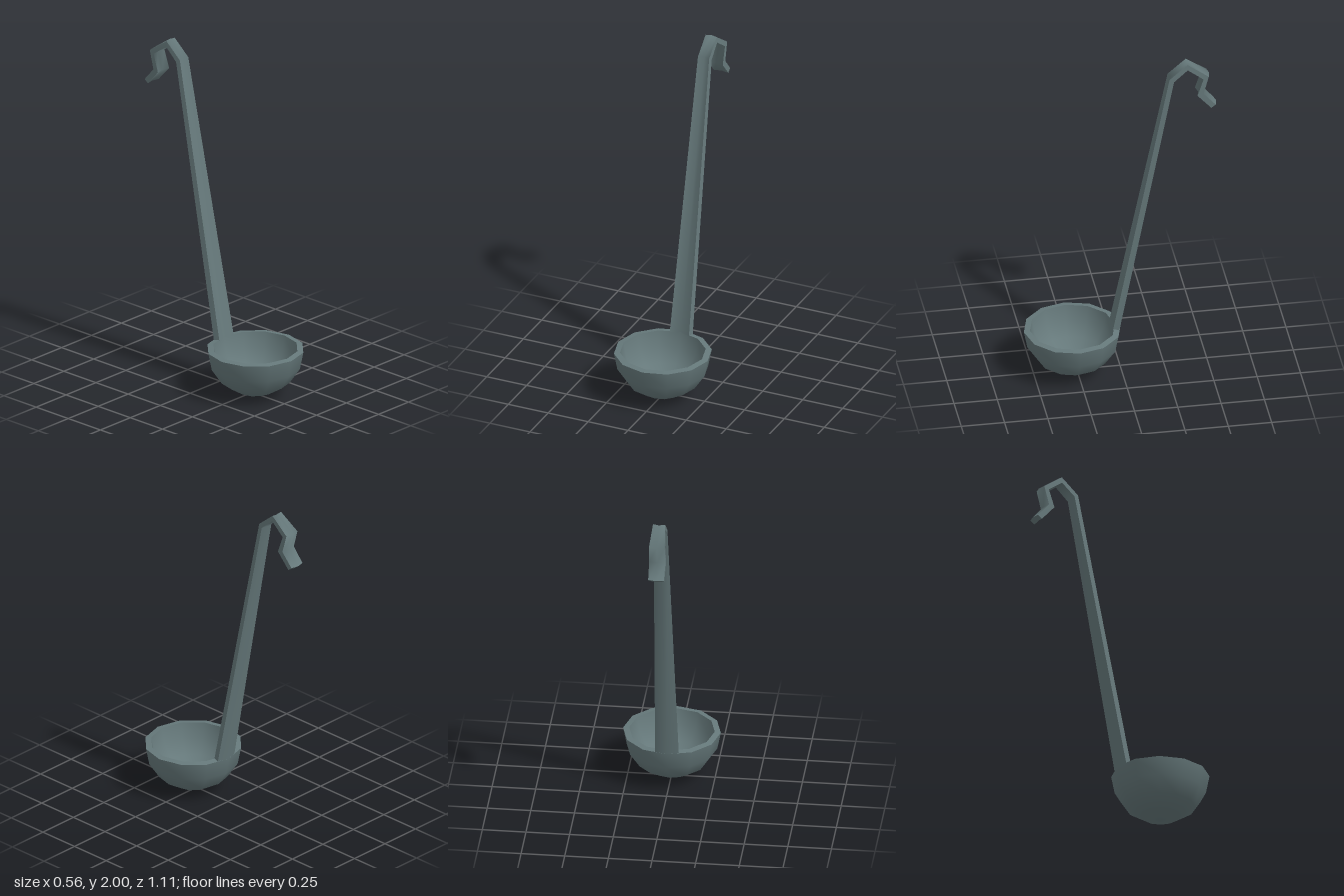
import * as THREE from 'three';

// Smooth surface through rows of equally many points
function sheet(rows) {
  const n = rows[0].length, index = [];
  for (let i = 0; i < rows.length - 1; i++) {
    for (let j = 0; j < n - 1; j++) {
      const a = i * n + j, d = a + n;
      index.push(a, a + 1, d + 1, a, d + 1, d);
    }
  }
  const geo = new THREE.BufferGeometry();
  geo.setAttribute('position', new THREE.Float32BufferAttribute(rows.flat(2), 3));
  geo.setIndex(index);
  geo.computeVertexNormals();
  return geo;
}

export function createModel() {
  const model = new THREE.Group();
  const metal = new THREE.MeshStandardMaterial({ color: 0x66797b });
  metal.name = 'darkMetal';

  const add = (parent, name, geo) => {
    const mesh = new THREE.Mesh(geo, metal);
    mesh.name = name;
    parent.add(mesh);
  };

  // Bowl: twelve-sided, with separate shells to keep the rim edges sharp
  const bowl = new THREE.Group();
  bowl.name = 'bowl';
  bowl.position.z = 0.275;
  const shells = {
    bowlOutside: [[0, 0.005], [0.105, 0.03], [0.2, 0.09], [0.26, 0.18], [0.28, 0.283]],
    bowlRim: [[0.28, 0.283], [0.245, 0.288]],
    bowlInside: [[0.245, 0.288], [0.228, 0.195], [0.175, 0.117], [0.092, 0.062], [0, 0.042]],
  };
  for (const [name, profile] of Object.entries(shells)) {
    const points = profile.map(([r, y]) => new THREE.Vector2(r, y));
    add(bowl, name, new THREE.LatheGeometry(points, 12));
  }
  model.add(bowl);

  // Handle stations: front z, y, half width; back z, y, half width; bow of the middle
  const stations = [
    [0.05, 0.285, 0.06, 0.015, 0.283, 0.068, 0.02],
    [-0.28, 1.91, 0.035, -0.305, 1.895, 0.04, 0.012],
    [-0.385, 2.0, 0.035, -0.385, 1.965, 0.037, 0.01],
    [-0.505, 1.915, 0.045, -0.475, 1.9, 0.045, 0.01],
    [-0.475, 1.805, 0.047, -0.44, 1.795, 0.047, 0.01],
    [-0.545, 1.725, 0.045, -0.52, 1.705, 0.045, 0.01],
  ];
  const row = (z, y, w, bow) => [[-w, y, z], [0, y, z - bow], [w, y, z]];
  const front = stations.map(([z, y, w, , , , bow]) => row(z, y, w, bow));
  const back = stations.map(([, , , z, y, w, bow]) => row(z, y, w, bow));

  const handle = new THREE.Group();
  handle.name = 'hookedHandle';
  add(handle, 'handleFront', sheet(front));
  add(handle, 'handleBack', sheet(back.map((r) => [...r].reverse())));
  add(handle, 'handleLeftEdge', sheet(front.map((r, i) => [r[2], back[i][2]])));
  add(handle, 'handleRightEdge', sheet(front.map((r, i) => [back[i][0], r[0]])));
  add(handle, 'hookTip', sheet([front.at(-1), back.at(-1)]));
  model.add(handle);

  return model;
}
